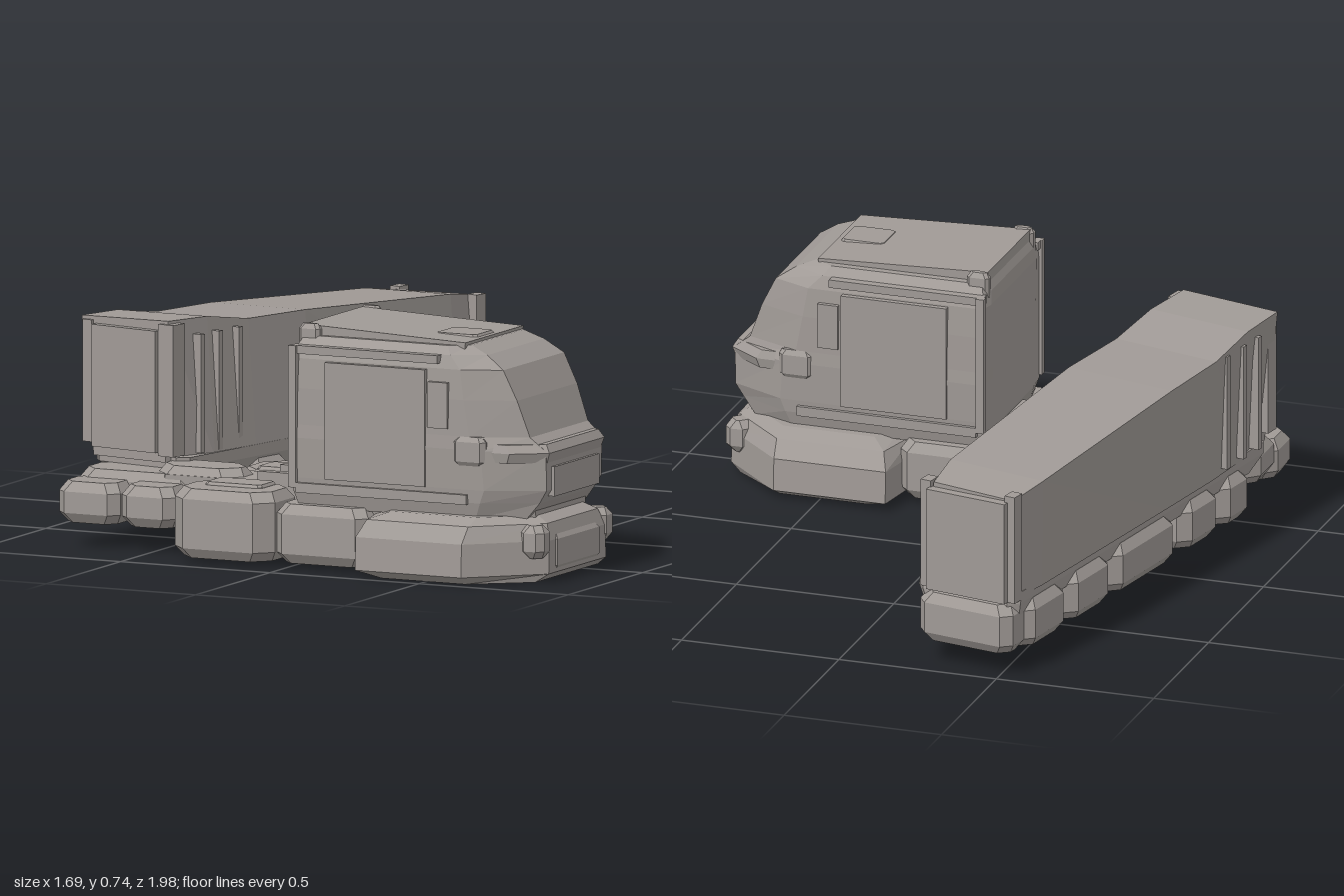
import * as THREE from 'three';

const body = new THREE.MeshStandardMaterial({ color: 0xa09a96, flatShading: true });
body.name = 'warm grey';

// Skin a stack of equal-sized rings and cap both ends
function loft(name, rings) {
  const p = [];
  const tri = (...v) => v.forEach((q) => p.push(...q));
  const n = rings[0].length;
  for (let k = 0; k + 1 < rings.length; k++) {
    for (let i = 0; i < n; i++) {
      const j = (i + 1) % n, a = rings[k], b = rings[k + 1];
      tri(a[i], b[i], a[j]);
      tri(a[j], b[i], b[j]);
    }
  }
  const first = rings[0], last = rings[rings.length - 1];
  for (let i = 1; i + 1 < n; i++) {
    tri(first[0], first[i], first[i + 1]);
    tri(last[0], last[i + 1], last[i]);
  }
  const g = new THREE.BufferGeometry();
  g.setAttribute('position', new THREE.Float32BufferAttribute(p, 3));
  g.computeVertexNormals();
  const m = new THREE.Mesh(g, body);
  m.name = name;
  return m;
}

// Layers from bottom to top: [y, x0, x1, z0, z1, chamfer at x0, chamfer at x1, chamfer depth in z]
function slab(name, layers) {
  return loft(name, layers.map(([y, x0, x1, z0, z1, c0 = 0.02, c1 = c0, d = Math.min(c0, c1)]) => [
    [x0 + c0, y, z0], [x1 - c1, y, z0], [x1, y, z0 + d], [x1, y, z1 - d],
    [x1 - c1, y, z1], [x0 + c0, y, z1], [x0, y, z1 - d], [x0, y, z0 + d],
  ]));
}

// Chunky block with cut corners and a bevelled top and bottom
function block(name, x0, x1, y0, y1, z0, z1, c = 0.03, b = 0.02) {
  return slab(name, [
    [y0, x0 + b, x1 - b, z0 + b, z1 - b, c],
    [y0 + b * 1.5, x0, x1, z0, z1, c],
    [y1 - b * 1.5, x0, x1, z0, z1, c],
    [y1, x0 + b, x1 - b, z0 + b, z1 - b, c],
  ]);
}

function box(name, x0, x1, y0, y1, z0, z1) {
  const m = new THREE.Mesh(new THREE.BoxGeometry(x1 - x0, y1 - y0, z1 - z0), body);
  m.position.set((x0 + x1) / 2, (y0 + y1) / 2, (z0 + z1) / 2);
  m.name = name;
  return m;
}

// Tractor points along +x; z is measured from its centre line
function createTractor() {
  const g = new THREE.Group();
  g.name = 'tractor';
  g.position.z = 0.61;

  // Cab with a raked windscreen and a blunt nose
  g.add(slab('cab', [
    [0.2, 0.02, 0.76, -0.25, 0.25, 0.01, 0.14, 0.06],
    [0.25, 0.005, 0.8, -0.262, 0.262, 0.01, 0.16, 0.08],
    [0.29, 0.005, 0.825, -0.265, 0.265, 0.01, 0.17, 0.08],
    [0.41, 0.005, 0.825, -0.268, 0.268, 0.01, 0.18, 0.08],
    [0.45, 0.005, 0.775, -0.265, 0.265, 0.01, 0.17, 0.07],
    [0.56, 0.005, 0.735, -0.262, 0.262, 0.01, 0.15, 0.06],
    [0.65, 0.005, 0.69, -0.255, 0.255, 0.01, 0.12, 0.05],
    [0.69, 0.01, 0.63, -0.24, 0.24, 0.01, 0.1, 0.05],
    [0.715, 0.02, 0.57, -0.215, 0.215, 0.01, 0.06, 0.04],
  ]));
  const roof = box('roofFairing', 0.02, 0.56, 0.7, 0.735, -0.19, 0.2);
  roof.rotation.z = -0.04;
  g.add(roof);
  g.add(block('roofHatch', 0.4, 0.55, 0.7, 0.732, -0.04, 0.1, 0.01, 0.01));
  g.add(slab('noseLip', [
    [0.375, 0.66, 0.825, -0.25, 0.25, 0.01, 0.1, 0.07],
    [0.405, 0.66, 0.835, -0.255, 0.255, 0.01, 0.1, 0.07],
    [0.43, 0.66, 0.82, -0.245, 0.245, 0.01, 0.1, 0.07],
  ]));
  g.add(box('grille', 0.8, 0.835, 0.27, 0.36, -0.15, 0.15));
  g.add(slab('cabFloor', [
    [0.17, 0.02, 0.78, -0.22, 0.22, 0.02, 0.1, 0.06],
    [0.23, 0.02, 0.78, -0.23, 0.23, 0.02, 0.1, 0.06],
  ]));

  // Wide bumper with front wheel fairings
  g.add(slab('bumper', [
    [0.015, 0.3, 0.8, -0.34, 0.34, 0.05, 0.17, 0.13],
    [0.04, 0.25, 0.835, -0.385, 0.38, 0.03, 0.2, 0.19],
    [0.14, 0.25, 0.835, -0.38, 0.375, 0.03, 0.2, 0.19],
    [0.19, 0.26, 0.82, -0.34, 0.34, 0.04, 0.18, 0.17],
    [0.21, 0.3, 0.78, -0.28, 0.28, 0.05, 0.14, 0.13],
  ]));
  g.add(block('bumperCentre', 0.74, 0.84, 0.03, 0.17, -0.17, 0.17, 0.03));

  for (const s of [-1, 1]) {
    const side = new THREE.Group();
    side.name = s > 0 ? 'rightSide' : 'leftSide';
    const add = (fn, name, x0, x1, y0, y1, a, b, ...r) =>
      side.add(fn(name, x0, x1, y0, y1, Math.min(s * a, s * b), Math.max(s * a, s * b), ...r));
    // Door, rear panel and window surround
    add(box, 'rearSeam', 0.005, 0.03, 0.26, 0.69, 0.255, 0.278);
    add(box, 'doorPanel', 0.125, 0.46, 0.29, 0.645, 0.255, 0.273);
    add(box, 'windowFrame', 0.47, 0.535, 0.47, 0.61, 0.25, 0.272);
    add(box, 'gutter', 0.01, 0.5, 0.665, 0.69, 0.235, 0.268);
    add(box, 'sill', 0.03, 0.6, 0.245, 0.275, 0.25, 0.276);
    add(block, 'roofStack', 0.01, 0.08, 0.66, 0.75, 0.185, 0.222, 0.01, 0.01);
    add(block, 'mirror', 0.55, 0.66, 0.36, 0.45, 0.24, 0.275, 0.015, 0.01);
    add(block, 'headlamp', 0.76, 0.84, 0.09, 0.19, 0.17, 0.25, 0.02, 0.015);
    // Tanks, rear wheels and their tops
    add(block, 'fuelTank', -0.035, 0.27, 0.03, 0.21, 0.12, 0.3, 0.03);
    add(block, 'rearWheels', -0.37, -0.035, 0.03, 0.24, 0.1, 0.335, 0.05);
    add(block, 'rearWheelTop', -0.3, -0.11, 0.2, 0.25, 0.12, 0.23, 0.01, 0.005);
    g.add(side);
  }

  // Frame behind the cab and the coupling under the trailer
  g.add(box('frame', -0.5, 0.3, 0.08, 0.24, -0.09, 0.09));
  g.add(box('underside', -0.36, 0.3, 0.05, 0.15, -0.14, 0.14));
  for (const z of [-0.09, 0.06]) g.add(box('frameBracket', -0.19, -0.08, 0.22, 0.27, z, z + 0.03));
  g.add(block('coupling', -0.55, -0.26, 0.18, 0.265, -0.08, 0.09, 0.05));
  g.add(block('tailDeck', -0.8, -0.4, 0.12, 0.24, -0.1, 0.1, 0.04));
  g.add(block('tailWheelOuter', -0.81, -0.605, 0.09, 0.215, 0.04, 0.21));
  g.add(block('tailWheelInner', -0.6, -0.42, 0.09, 0.215, 0.04, 0.21));
  g.add(block('tailWheelFar', -0.52, -0.38, 0.09, 0.22, -0.21, -0.05));
  return g;
}

// Trailer is built along its own z axis and swung round at the coupling
function createTrailer() {
  const g = new THREE.Group();
  g.name = 'trailer';
  g.position.x = -0.56;
  g.rotation.y = -0.184;

  // Sections: [z, top height, top left x, top right x, bottom left x, bottom right x]
  const sections = [
    [-0.945, 0.585, -0.155, 0.12, -0.16, 0.15],
    [-0.8, 0.605, -0.175, 0.145, -0.17, 0.17],
    [-0.05, 0.65, -0.19, 0.165, -0.175, 0.185],
    [0.22, 0.655, -0.19, 0.155, -0.175, 0.185],
    [0.42, 0.685, -0.185, 0.15, -0.165, 0.18],
    [0.6, 0.69, -0.185, 0.14, -0.14, 0.13],
  ];
  g.add(loft('cargoBox', sections.map(([z, t, a, b, c, d]) =>
    [[a, t - 0.01, z], [b, t, z], [d, 0.26, z], [c, 0.26, z]])));

  // Raised front panel, corner posts and side ribs
  g.add(box('frontPanel', -0.13, 0.11, 0.29, 0.66, 0.59, 0.625));
  g.add(box('frontPostRight', 0.11, 0.165, 0.28, 0.68, 0.55, 0.61));
  g.add(box('frontPostLeft', -0.175, -0.14, 0.3, 0.67, 0.56, 0.61));
  for (const z of [0.28, 0.38, 0.47]) {
    g.add(box('sideRib', -0.193, -0.16, 0.28, 0.64, z, z + 0.02));
    g.add(box('sideRib', 0.14, 0.18, 0.28, 0.64, z, z + 0.02));
  }

  // Rear doors with a light bar below
  g.add(box('rearDoors', -0.14, 0.13, 0.25, 0.57, -0.975, -0.93));
  for (const x of [-0.165, 0.125]) g.add(box('rearPost', x, x + 0.035, 0.25, 0.59, -0.955, -0.91));
  g.add(block('rearBumper', -0.16, 0.16, 0.085, 0.24, -0.985, -0.86, 0.03));

  // Chassis, skirt and the row of wheel blocks along each side
  g.add(slab('skirt', [
    [0.2, -0.16, 0.17, -0.95, 0.5, 0.03],
    [0.24, -0.165, 0.185, -0.95, 0.58, 0.03],
    [0.275, -0.165, 0.185, -0.94, 0.58, 0.03],
  ]));
  g.add(box('chassis', -0.12, 0.12, 0.1, 0.22, -0.92, 0.5));
  const spans = [[0.28, 0.45], [0.05, 0.26], [-0.37, 0], [-0.64, -0.39], [-0.9, -0.66]];
  for (const [z0, z1] of spans) {
    g.add(block('wheelBlockLeft', -0.185, -0.06, 0.085, 0.235, z0, z1, 0.035));
    g.add(block('wheelBlockRight', 0.06, 0.2, 0.085, 0.235, z0, z1, 0.035));
  }
  g.add(block('landingLeg', -0.15, -0.04, 0.06, 0.12, -0.44, -0.34, 0.03));
  return g;
}

export function createModel() {
  const model = new THREE.Group();
  model.name = 'truckAndTrailer';
  model.add(createTractor(), createTrailer());
  model.position.y = -0.015;
  return model;
}
